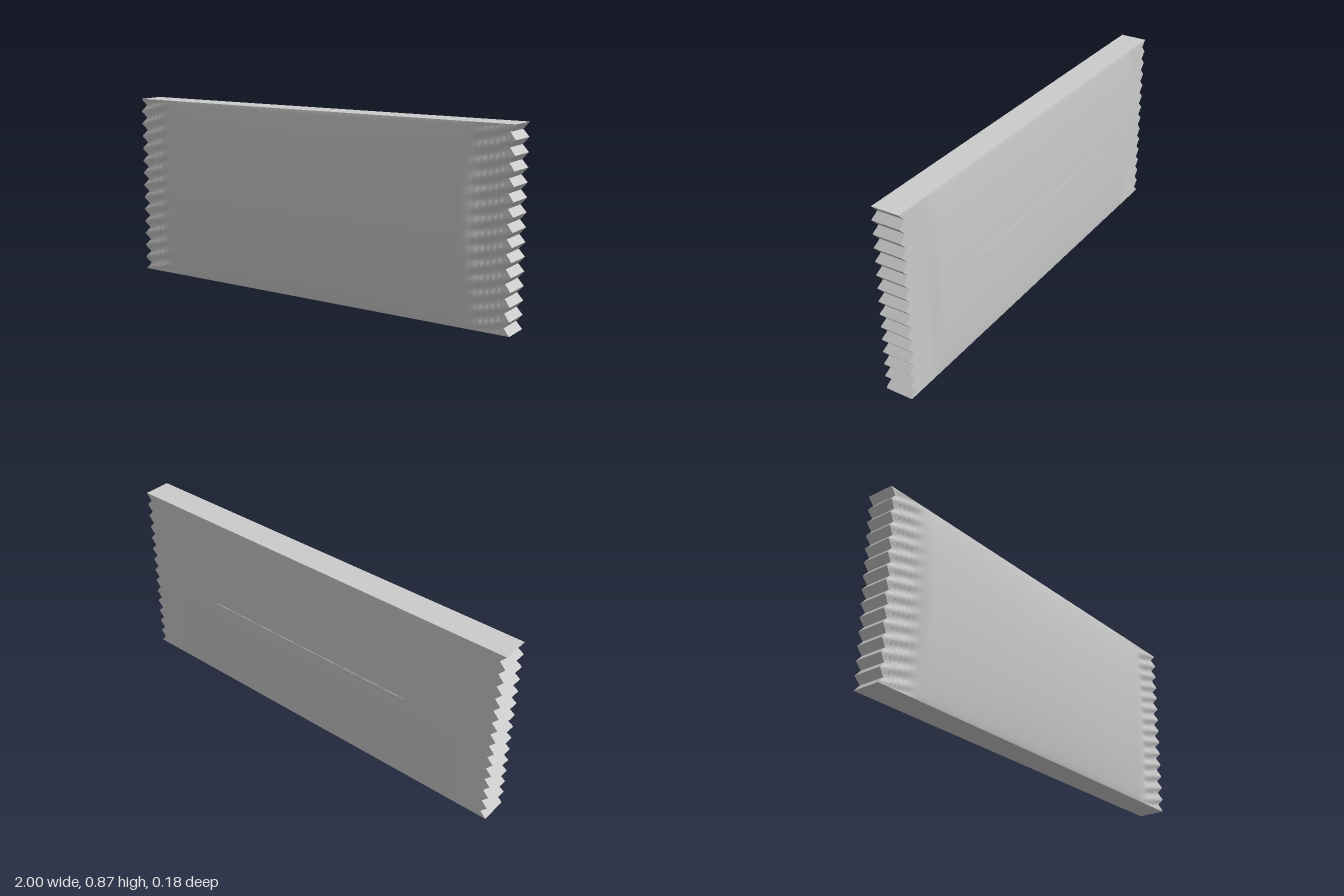
import * as THREE from 'three';

const H = 0.866, TEETH = 14, NOTCH = 0.028;
const NX = 180, NY = 140;
const smooth = THREE.MathUtils.smoothstep;

// 0 at the tip of a tooth, 1 at the bottom of a notch
const notch = (y) => {
  const f = ((y / H) * TEETH) % 1;
  return 1 - Math.abs(2 * f - 1);
};

// Pull the ends in to follow the sawtooth cut
const cutX = (x, y) => x - Math.sign(x) * NOTCH * notch(y) * smooth(Math.abs(x), 0.9, 1);

// Pillow section across the height
const pillow = (y) => Math.pow(Math.max(0, 1 - (2 * y / H - 1) ** 2), 0.8);

// Puffed front with crimped end seals
function frontZ(x, y) {
  const a = Math.abs(x);
  const puff = (1 - smooth(a, 0.76, 0.88)) * (0.029 + 0.006 * (1 - smooth(a, 0, 0.8)));
  const seal = smooth(a, 0.79, 0.88) * smooth(y, 0, 0.02) * (1 - smooth(y, H - 0.02, H));
  const rows = Math.cos(2 * Math.PI * (TEETH * y / H - x * 4));
  const grooves = Math.cos(2 * Math.PI * a / 0.027) * (1 - smooth(a, 0.95, 0.98));
  return 0.055 + puff * pillow(y) + seal * (0.004 * rows + 0.0025 * grooves * (0.6 + 0.4 * rows));
}

// Shallower, plain back
function backZ(x, y) {
  return -0.074 - 0.015 * (1 - smooth(Math.abs(x), 0.78, 0.87)) * pillow(y);
}

// Fine grid, denser toward the ends, shaped by a height rule
function panel(name, zRule, turned, material) {
  const g = new THREE.PlaneGeometry(2, H, NX, NY);
  if (turned) g.rotateY(Math.PI);
  const p = g.attributes.position;
  for (let i = 0; i < p.count; i++) {
    const u = p.getX(i), y = p.getY(i) + H / 2;
    const x = 0.3 * u + 0.7 * Math.sin(u * Math.PI / 2);
    p.setXYZ(i, cutX(x, y), y, zRule(x, y));
  }
  g.computeVertexNormals();
  const mesh = new THREE.Mesh(g, material);
  mesh.name = name;
  return mesh;
}

// Flat-faced wall joining front and back along a path of [x, y] points
function wall(name, path, material) {
  const v = [];
  for (let i = 0; i < path.length - 1; i++) {
    const [a, b] = [path[i], path[i + 1]].map(([x, y]) => ({
      f: [cutX(x, y), y, frontZ(x, y)],
      r: [cutX(x, y), y, backZ(x, y)],
    }));
    v.push(...a.f, ...a.r, ...b.f, ...b.f, ...a.r, ...b.r);
  }
  const g = new THREE.BufferGeometry();
  g.setAttribute('position', new THREE.Float32BufferAttribute(v, 3));
  g.computeVertexNormals();
  const mesh = new THREE.Mesh(g, material);
  mesh.name = name;
  return mesh;
}

export function createModel() {
  const group = new THREE.Group();
  group.name = 'wrappedBar';
  const material = new THREE.MeshStandardMaterial({ color: 0xcccccc });

  group.add(panel('frontPanel', frontZ, false, material));
  group.add(panel('backPanel', backZ, true, material));

  // Sawtooth ends, walked so that the walls face outward
  const steps = Array.from({ length: NY + 1 }, (_, i) => (i / NY) * H);
  group.add(wall('leftSawtoothEnd', steps.map((y) => [1, y]), material));
  group.add(wall('rightSawtoothEnd', steps.map((y) => [-1, H - y]), material));

  // Flat long edges
  group.add(wall('bottomEdge', [[-1, 0], [1, 0]], material));
  group.add(wall('topEdge', [[1, H], [-1, H]], material));

  // Thin seam along the middle of the back
  const seam = new THREE.Mesh(new THREE.BoxGeometry(1.1, 0.004, 0.004), material);
  seam.name = 'backSeam';
  seam.position.set(0, H / 2, -0.0892);
  group.add(seam);

  return group;
}
